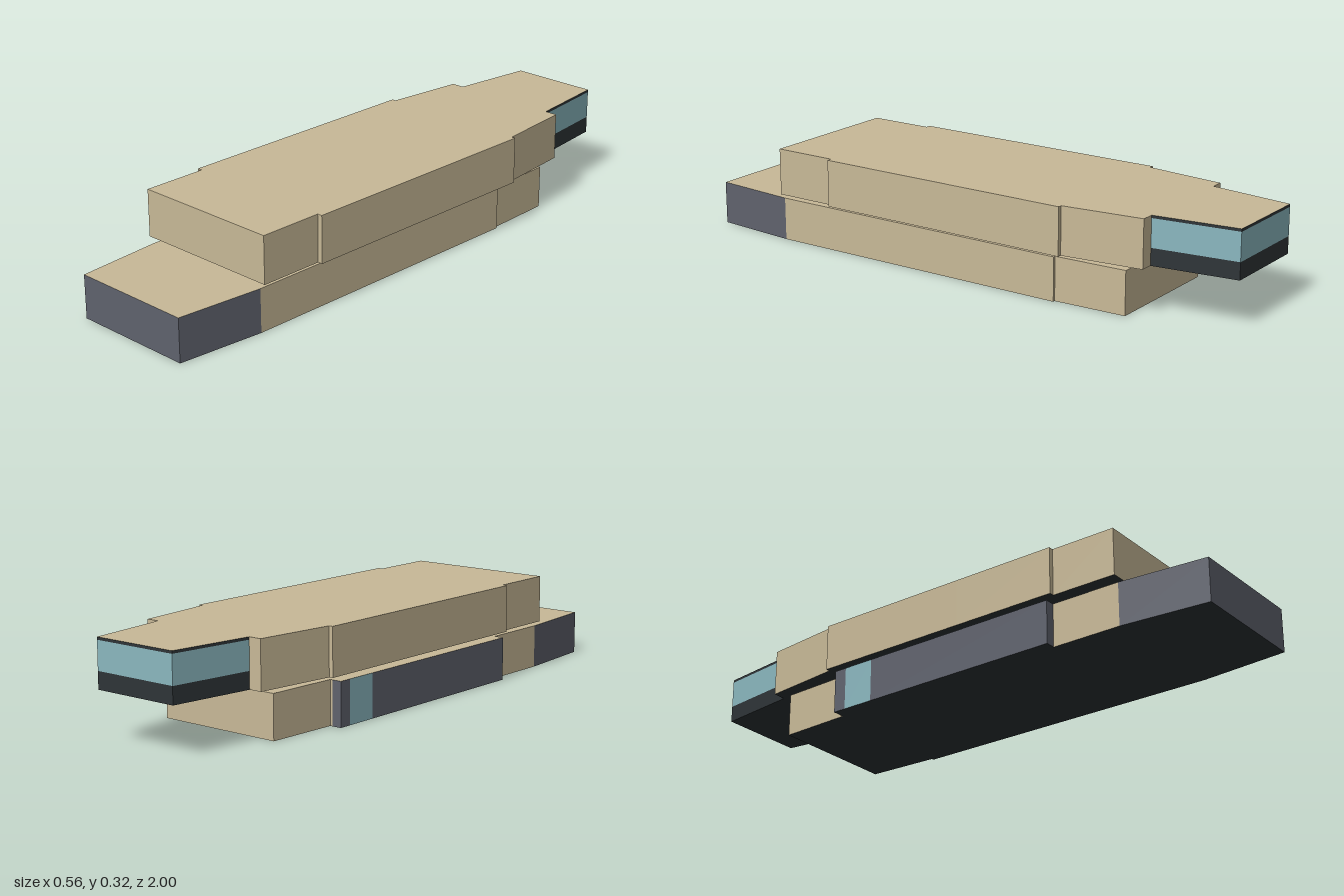
import * as THREE from 'three';

const mat = (name, color) => {
  const m = new THREE.MeshStandardMaterial({ color });
  m.name = name;
  return m;
};

export function createModel() {
  const tan = mat('tan shell', 0xc9ba98);
  const slate = mat('slate panel', 0x60636e);
  const glass = mat('blue glass', 0x8bb8c0);
  const dark = mat('dark underside', 0x2f3538);

  const group = new THREE.Group();
  group.name = 'twoStoreyHull';

  // Hull section tapering from half width wf at its front to wb at its back.
  // Material order: +x, -x, top, bottom, front, back.
  function section(name, zf, zb, wf, wb, y0, y1, mats, cx = 0) {
    const geo = new THREE.BoxGeometry(2, y1 - y0, zf - zb).toNonIndexed();
    const p = geo.attributes.position;
    for (let i = 0; i < p.count; i++) {
      p.setX(i, cx + p.getX(i) * (p.getZ(i) > 0 ? wf : wb));
    }
    geo.translate(0, (y0 + y1) / 2, (zf + zb) / 2);
    geo.computeVertexNormals();
    const mesh = new THREE.Mesh(geo, mats);
    mesh.name = name;
    group.add(mesh);
  }
  const skin = (side, end = side) => [side, side, tan, dark, end, end];

  // Lower storey
  const L = 0.147;
  section('lowerNose', 1, 0.7, 0.216, 0.243, 0, L, skin(slate));
  section('lowerFront', 0.7, 0.48, 0.243, 0.243, 0, L, skin(tan));
  section('lowerMiddle', 0.48, -0.4, 0.243, 0.243, 0, L, skin(tan));
  section('lowerRear', -0.4, -0.65, 0.235, 0.225, 0, L, skin(tan));

  // Side bay on one flank, with a window strip near its back
  [
    ['sideBayFront', 0.46, -0.245, slate],
    ['sideBayWindow', -0.245, -0.355, glass],
    ['sideBayRear', -0.355, -0.4, slate],
  ].forEach(([name, zf, zb, m]) => section(name, zf, zb, 0.017, 0.017, 0, L, skin(m, slate), -0.26));

  // Upper storey
  const B = 0.165, T = 0.325;
  section('upperFront', 0.7, 0.475, 0.262, 0.262, B, T, skin(tan));
  section('upperMiddleFront', 0.475, 0.11, 0.279, 0.279, B, T, skin(tan));
  section('upperMiddleRear', 0.11, -0.44, 0.279, 0.279, B, T, skin(tan));
  section('upperRear', -0.44, -0.715, 0.265, 0.235, B, T, skin(tan));

  // Glazed tail: sill, window band and roof edge
  [
    ['tailSill', B, 0.222, dark],
    ['tailWindow', 0.222, 0.316, glass],
    ['tailRoof', 0.316, T, dark],
  ].forEach(([name, y0, y1, m]) => section(name, -0.715, -1, 0.19, 0.155, y0, y1, skin(m)));

  return group;
}
